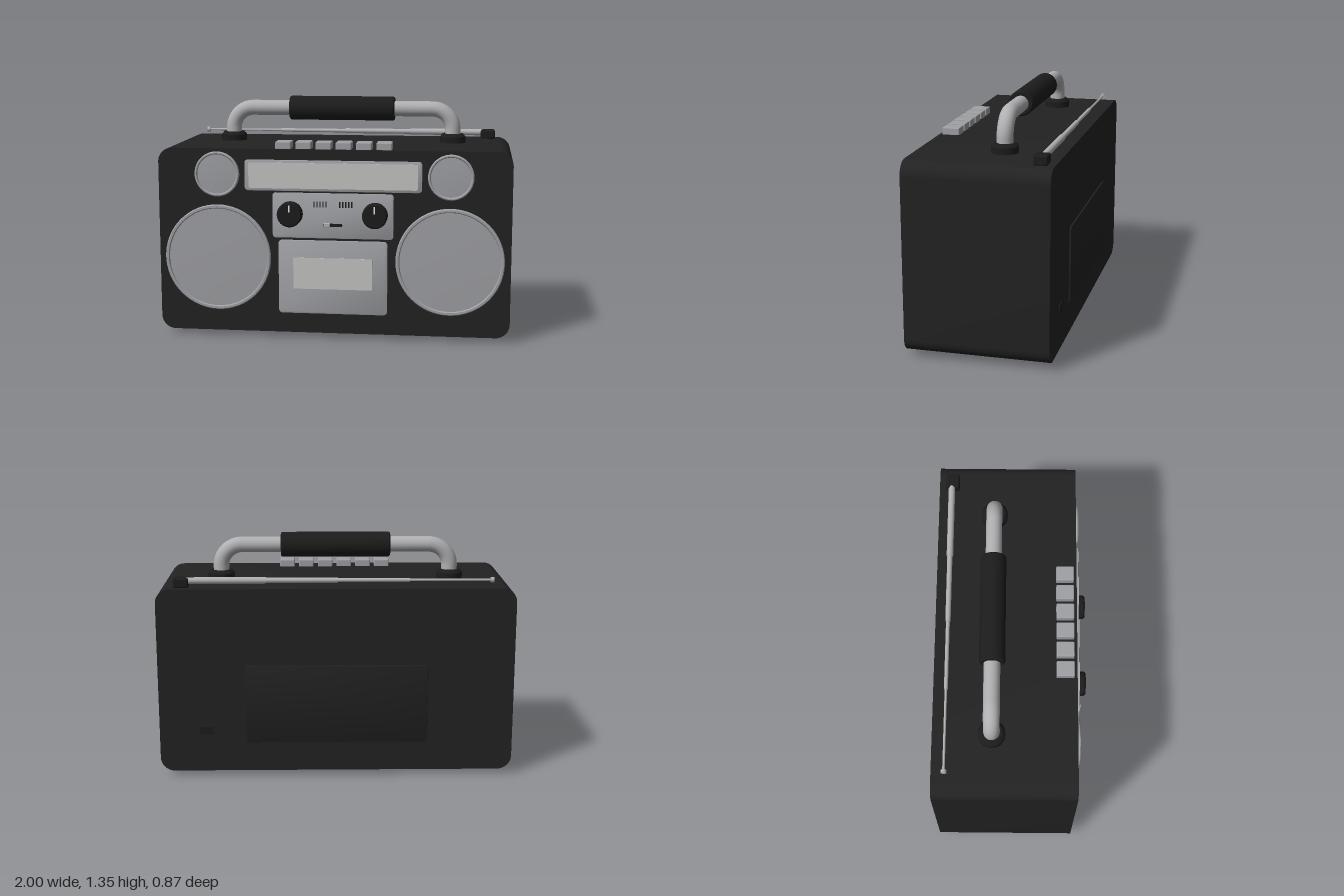
import * as THREE from 'three';
import { toCreasedNormals } from 'three/addons/utils/BufferGeometryUtils.js';
import { RoundedBoxGeometry } from 'three/addons/geometries/RoundedBoxGeometry.js';

const mat = (name, color) => {
  const m = new THREE.MeshStandardMaterial({ color });
  m.name = name;
  return m;
};

export function createModel() {
  const model = new THREE.Group();
  model.name = 'boombox';
  const black = mat('blackCasing', 0x222222);
  const rubber = mat('darkRubber', 0x1c1c1c);
  const silver = mat('silverPanel', 0xa0a1a5);
  const metal = mat('brightMetal', 0xb0b0b3);
  const pale = mat('paleWindow', 0xc6c6c5);
  const white = mat('whiteMark', 0xe8e8e8);

  const add = (name, geometry, material, x = 0, y = 0, z = 0) => {
    const mesh = new THREE.Mesh(geometry, material);
    mesh.name = name;
    mesh.position.set(x, y, z);
    model.add(mesh);
    return mesh;
  };

  // Rounded rectangle extruded along z, from z = 0 to depth
  const plate = (w, h, r, depth, bevel = 0) => {
    const a = w / 2 - bevel, b = h / 2 - bevel;
    const s = new THREE.Shape();
    s.moveTo(-a + r, -b);
    s.lineTo(a - r, -b);
    s.absarc(a - r, -b + r, r, -Math.PI / 2, 0);
    s.absarc(a - r, b - r, r, 0, Math.PI / 2);
    s.absarc(-a + r, b - r, r, Math.PI / 2, Math.PI);
    s.absarc(-a + r, -b + r, r, Math.PI, Math.PI * 1.5);
    const g = new THREE.ExtrudeGeometry(s, {
      depth: depth - 2 * bevel, curveSegments: 10, bevelEnabled: bevel > 0,
      bevelSize: bevel, bevelThickness: bevel, bevelSegments: 2,
    });
    g.translate(0, 0, bevel);
    return toCreasedNormals(g, 0.6);
  };

  // Lathe around y from [radius, height] pairs
  const turned = (points, segments = 48) => toCreasedNormals(
    new THREE.LatheGeometry(points.map(([r, y]) => new THREE.Vector2(r, y)), segments), 0.6);

  // Casing
  const front = 0.37, back = -0.425;
  add('casing', plate(2, 1.055, 0.08, front - back), black, 0, 0.5575, back);

  // Feet
  for (const x of [-0.775, 0.775]) for (const z of [0.225, -0.28])
    add('foot', turned([[0, 0], [0.045, 0], [0.05, 0.006], [0.05, 0.035]], 24), rubber, x, 0, z);

  // Woofers and tweeters: raised rim around a slightly sunken grille
  const speaker = (name, x, y, r, rim) => {
    const ring = turned([[r, 0], [r, 0.011], [r - 0.005, 0.016],
      [r - rim + 0.005, 0.016], [r - rim, 0.008]], 64).rotateX(Math.PI / 2);
    add(name + 'Rim', ring, silver, x, y, front);
    const grille = turned([[r - rim, 0.008], [(r - rim) * 0.6, 0.010], [0, 0.011]], 64)
      .rotateX(Math.PI / 2);
    add(name + 'Grille', grille, silver, x, y, front);
  };
  for (const x of [-0.66, 0.66]) {
    speaker('woofer', x, 0.46, 0.305, 0.022);
    speaker('tweeter', x, 0.94, 0.128, 0.016);
  }

  // Tuner display
  add('tunerFrame', plate(1.0, 0.175, 0.015, 0.014, 0.004), silver, 0, 0.938, front);
  add('tunerWindow', plate(0.955, 0.145, 0.012, 0.004), pale, 0, 0.938, front + 0.0125);

  // Control panel
  add('controlPanel', plate(0.685, 0.258, 0.015, 0.012, 0.003), silver, 0, 0.712, front);
  const face = front + 0.012;
  for (const x of [-0.24, 0.24]) {
    const knob = turned([[0.071, 0], [0.071, 0.042], [0.063, 0.052], [0, 0.052]], 40)
      .rotateX(Math.PI / 2);
    add('knob', knob, rubber, x, 0.722, face);
    add('knobPointer', new THREE.BoxGeometry(0.008, 0.04, 0.004), white, x, 0.757, 0.434);
  }
  for (const start of [-0.105, 0.04]) for (let i = 0; i < 5; i++)
    add('indicatorSlit', new THREE.BoxGeometry(0.007, 0.034, 0.002), rubber,
      start + i * 0.017, 0.778, face);
  add('sliderSlot', plate(0.11, 0.018, 0.008, 0.003), rubber, 0, 0.66, face - 0.001);
  add('sliderTab', new RoundedBoxGeometry(0.038, 0.024, 0.014, 2, 0.004), metal, -0.033, 0.66, face + 0.005);

  // Cassette door
  add('cassetteDoor', plate(0.62, 0.425, 0.018, 0.014, 0.004), silver, 0, 0.358, front);
  add('cassetteWindow', plate(0.45, 0.18, 0.006, 0.004), pale, 0, 0.38, front + 0.0125);

  // Tape keys on top
  for (let i = 0; i < 6; i++)
    add('tapeKey', new RoundedBoxGeometry(0.088, 0.045, 0.1, 2, 0.006), silver,
      -0.285 + i * 0.114, 1.103, 0.303);

  // Carrying handle
  const hx = 0.655, hy = 1.28, hz = -0.1, R = 0.12, k = R * 0.45;
  const v = (x, y) => new THREE.Vector3(x, y, hz);
  const path = new THREE.CurvePath();
  path.add(new THREE.LineCurve3(v(-hx, 1.08), v(-hx, hy - R)));
  path.add(new THREE.CubicBezierCurve3(v(-hx, hy - R), v(-hx, hy - k), v(-hx + k, hy), v(-hx + R, hy)));
  path.add(new THREE.LineCurve3(v(-hx + R, hy), v(hx - R, hy)));
  path.add(new THREE.CubicBezierCurve3(v(hx - R, hy), v(hx - k, hy), v(hx, hy - k), v(hx, hy - R)));
  path.add(new THREE.LineCurve3(v(hx, hy - R), v(hx, 1.08)));
  add('handle', new THREE.TubeGeometry(path, 120, 0.045, 20), metal);
  const grip = turned([[0, -0.312], [0.064, -0.312], [0.071, -0.304],
    [0.071, 0.304], [0.064, 0.312], [0, 0.312]], 36).rotateZ(Math.PI / 2);
  add('handleGrip', grip, rubber, 0, hy, hz);
  for (const x of [-hx, hx])
    add('handleCollar', turned([[0.075, 0], [0.075, 0.035], [0.06, 0.052], [0, 0.052]], 32),
      rubber, x, 1.085, hz);

  // Telescopic antenna lying along the rear top edge
  const az = -0.353;
  add('antennaPivot', new RoundedBoxGeometry(0.085, 0.055, 0.078, 2, 0.01), rubber, 0.862, 1.11, -0.348);
  [[0.83, 0.39, 0.019], [0.39, -0.01, 0.015], [-0.01, -0.41, 0.011], [-0.41, -0.865, 0.007]]
    .forEach(([a, b, r]) => {
      const rod = new THREE.CylinderGeometry(r, r, a - b, 16).rotateZ(Math.PI / 2);
      add('antennaSection', rod, metal, (a + b) / 2, 1.12, az);
    });
  add('antennaTip', new THREE.CylinderGeometry(0.016, 0.016, 0.018, 16).rotateZ(Math.PI / 2),
    metal, -0.87, 1.12, az);

  // Battery cover and power socket on the back
  add('batteryCover', plate(1.03, 0.45, 0.02, 0.012, 0.003), black, 0, 0.425, back - 0.01);
  add('powerSocket', plate(0.07, 0.045, 0.008, 0.008), rubber, 0.735, 0.27, back - 0.006);

  return model;
}
